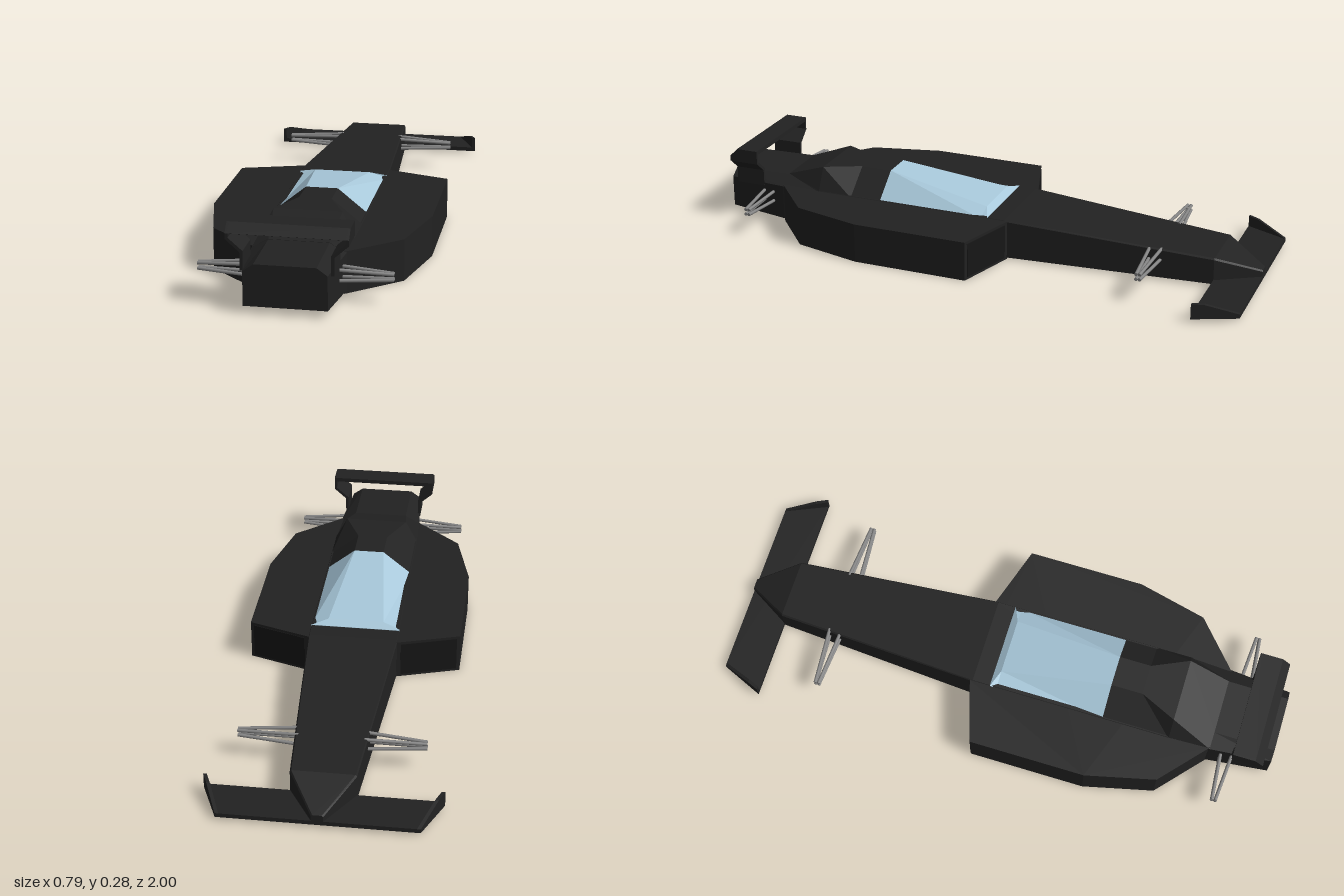
import * as THREE from 'three';

const mat = (name, color) => Object.assign(new THREE.MeshStandardMaterial({ color }), { name });

// Loft of mirrored rings: each section is [z, [halfWidth, y], ...] listed from bottom to top
function loft(sections) {
  const rings = sections.map(([z, ...half]) => [
    ...half.map(([x, y]) => [x, y, z]),
    ...half.slice().reverse().map(([x, y]) => [-x, y, z]),
  ]);
  const n = rings[0].length, pos = [];
  const tri = (a, b, c) => pos.push(...a, ...b, ...c);
  for (let i = 0; i < rings.length - 1; i++) {
    for (let j = 0; j < n; j++) {
      const k = (j + 1) % n, p = rings[i], q = rings[i + 1];
      tri(p[j], p[k], q[k]);
      tri(p[j], q[k], q[j]);
    }
  }
  const first = rings[0], last = rings[rings.length - 1];
  for (let j = 1; j < n - 1; j++) {
    tri(first[0], first[j + 1], first[j]);
    tri(last[0], last[j], last[j + 1]);
  }
  const geo = new THREE.BufferGeometry();
  geo.setAttribute('position', new THREE.Float32BufferAttribute(pos, 3));
  geo.computeVertexNormals();
  return geo;
}

const extrude = (points, depth) => new THREE.ExtrudeGeometry(
  new THREE.Shape(points.map(([x, y]) => new THREE.Vector2(x, y))), { depth, bevelEnabled: false });

// Side profile of [z, y] points, extruded from x0 to x1
const sideProfile = (pts, x0, x1) =>
  extrude(pts.map(([z, y]) => [-z, y]), x1 - x0).rotateY(Math.PI / 2).translate(x0, 0, 0);

// Mirrored plan outline of [x, z] points, extruded from y0 to y1
function plan(half, y0, y1) {
  const pts = [...half, ...half.slice().reverse().map(([x, z]) => [-x, z])];
  return extrude(pts.map(([x, z]) => [x, -z]), y1 - y0).rotateX(-Math.PI / 2).translate(0, y0, 0);
}

function rod(a, b, radius) {
  const from = new THREE.Vector3(...a), to = new THREE.Vector3(...b);
  const dir = to.clone().sub(from);
  const geo = new THREE.CylinderGeometry(radius, radius, dir.length(), 8);
  geo.applyQuaternion(new THREE.Quaternion().setFromUnitVectors(
    new THREE.Vector3(0, 1, 0), dir.clone().normalize()));
  return geo.translate(...from.add(to).multiplyScalar(0.5).toArray());
}

export function createModel() {
  const model = new THREE.Group();
  model.name = 'racingCar';
  const black = mat('bodyBlack', 0x222222);
  const dark = mat('intakeBlack', 0x171717);
  const glass = mat('canopyBlue', 0xa8c8da);
  const steel = mat('suspensionGrey', 0x858585);

  const add = (name, geo, material, parent = model) => {
    const mesh = new THREE.Mesh(geo, material);
    mesh.name = name;
    parent.add(mesh);
    return mesh;
  };

  // Long hull from the nose tip (-z) to the tail (+z)
  add('hull', loft([
    [-1, [0.02, 0.01], [0.02, 0.043], [0.015, 0.048]],
    [-0.85, [0.11, 0.01], [0.11, 0.1], [0.105, 0.106]],
    [-0.1, [0.16, 0.005], [0.16, 0.142], [0.157, 0.146]],
    [0.63, [0.16, 0.005], [0.16, 0.142], [0.157, 0.146]],
    [0.78, [0.155, 0.012], [0.155, 0.14], [0.1, 0.17]],
    [1, [0.135, 0.025], [0.135, 0.14], [0.1, 0.165]],
  ]), black);

  // Side pods and floor
  add('sidePods', plan([[0.16, -0.11], [0.38, -0.04], [0.38, 0.38], [0.32, 0.63], [0.15, 0.78]],
    0, 0.144), black);

  // Canopy glass
  add('canopy', loft([
    [-0.035, [0.16, 0.14], [0.16, 0.147]],
    [-0.01, [0.16, 0.14], [0.1, 0.163]],
    [0.385, [0.16, 0.14], [0.055, 0.225]],
  ]), glass);

  // Engine cover behind the canopy
  add('engineCover', loft([
    [0.385, [0.16, 0.14], [0.055, 0.225]],
    [0.5, [0.16, 0.14], [0.055, 0.225]],
    [0.63, [0.16, 0.14], [0.115, 0.225]],
    [0.78, [0.155, 0.14], [0.1, 0.171]],
  ]), black);

  // Wings
  add('frontWing', plan([[0.33, -1], [0.395, -0.85]], 0.01, 0.025), black);
  add('rearWing', sideProfile([[0.86, 0.265], [0.86, 0.28], [0.94, 0.28], [0.97, 0.25],
    [0.96, 0.246], [0.92, 0.262]], -0.19, 0.19), black);

  // Parts that repeat on both sides
  for (const side of [1, -1]) {
    const half = new THREE.Group();
    half.name = side > 0 ? 'leftSide' : 'rightSide';
    half.scale.x = side;
    model.add(half);

    // Front wing end plate, sheared to follow the swept tip
    const tip = sideProfile([[-1, 0.01], [-0.85, 0.01], [-0.85, 0.065], [-0.89, 0.062], [-1, 0.025]],
      -0.012, 0);
    const p = tip.attributes.position;
    for (let i = 0; i < p.count; i++) p.setX(i, p.getX(i) + 0.331 + (p.getZ(i) + 1) * 0.433);
    tip.computeVertexNormals();
    add('frontWingEndPlate', tip, black, half);

    // Rear wing end plate and its cranked strut
    add('rearWingEndPlate', sideProfile([[0.86, 0.23], [0.86, 0.28], [0.94, 0.28], [0.97, 0.25],
      [0.97, 0.23]], 0.187, 0.196), black, half);
    add('rearWingStrut', extrude([[0.196, 0.231], [0.187, 0.236], [0.14, 0.195], [0.14, 0.13],
      [0.15, 0.13], [0.15, 0.19]], 0.11).translate(0, 0, 0.86), black, half);

    // Air intake face on the pod front
    const intake = add('airIntake', new THREE.BoxGeometry(0.205, 0.125, 0.008), dark, half);
    intake.position.set(0.27, 0.072, -0.073);
    intake.rotation.y = -Math.atan2(0.07, 0.22);

    // Wishbones: two converging rods above and two below, at each axle
    for (const [axle, z, inner] of [['front', -0.642, 0.11], ['rear', 0.842, 0.13]]) {
      for (const [level, yIn, yOut] of [['Upper', 0.112, 0.101], ['Lower', 0.074, 0.083]]) {
        for (const s of [-1, 1]) {
          add(axle + level + 'Wishbone',
            rod([inner, yIn, z + s * 0.021], [0.318, yOut, z + s * 0.006], 0.006), steel, half);
        }
      }
    }
  }
  return model;
}
